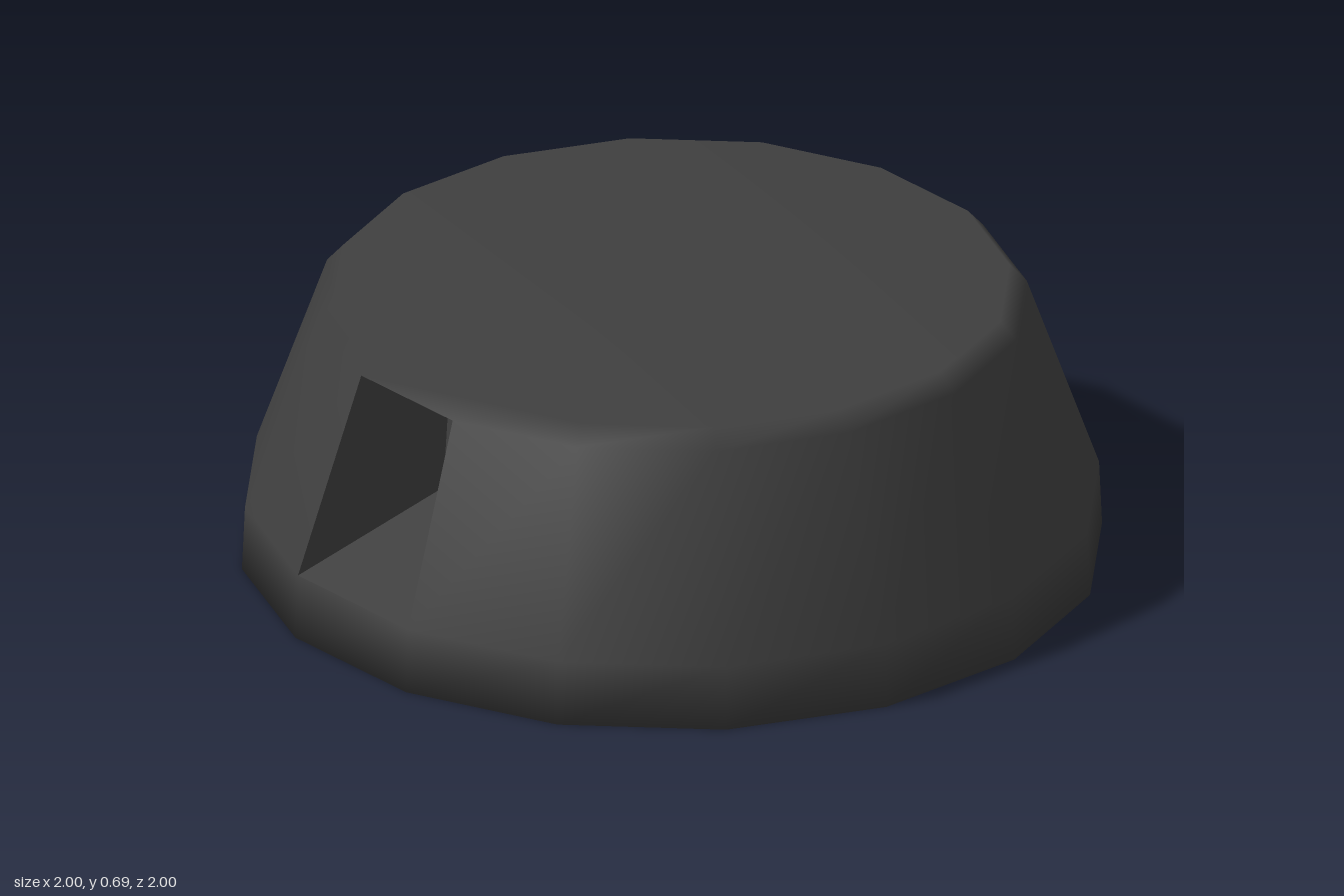
import * as THREE from 'three';

const SIDES = 16;
// [distance from axis to facet, height], bottom to top
const RINGS = [[1, 0], [0.993, 0.16], [0.825, 0.64], [0.785, 0.685]];

// Corner of a ring; facet between corners -1 and 0 faces the front
function corner([apothem, y], i) {
  const a = (i + 0.5) * 2 * Math.PI / SIDES;
  const r = apothem / Math.cos(Math.PI / SIDES);
  return [r * Math.sin(a), y, r * Math.cos(a)];
}

// Smooth closed body with one open facet at the front
function bodyGeometry() {
  const positions = [], faces = [], kept = [];
  for (const ring of RINGS)
    for (let i = 0; i < SIDES; i++) positions.push(...corner(ring, i));
  const bottom = RINGS.length * SIDES, top = bottom + 1;
  positions.push(0, RINGS[0][1], 0, 0, RINGS[RINGS.length - 1][1], 0);
  for (let i = 0; i < SIDES; i++) {
    const j = (i + 1) % SIDES;
    for (let k = 0; k < RINGS.length - 1; k++) {
      const a = k * SIDES + i, b = k * SIDES + j;
      const quad = [a, b, b + SIDES, a, b + SIDES, a + SIDES];
      faces.push(...quad);
      if (!(k === 1 && i === SIDES - 1)) kept.push(...quad);
    }
    const last = (RINGS.length - 1) * SIDES;
    const caps = [bottom, j, i, top, last + i, last + j];
    faces.push(...caps);
    kept.push(...caps);
  }
  const g = new THREE.BufferGeometry();
  g.setAttribute('position', new THREE.Float32BufferAttribute(positions, 3));
  // Normals come from the whole shell, before the recess is opened
  g.setIndex(faces);
  g.computeVertexNormals();
  g.setIndex(kept);
  return g;
}

// Flat-sided pocket narrowing from the open facet to a back panel
function recessGeometry() {
  const outer = [corner(RINGS[1], -1), corner(RINGS[1], 0), corner(RINGS[2], 0), corner(RINGS[2], -1)];
  const inner = [[-0.164, 0.27, 0.57], [0.164, 0.27, 0.57], [0.164, 0.53, 0.55], [-0.164, 0.53, 0.55]];
  const positions = [];
  const quad = (a, b, c, d) => positions.push(...a, ...b, ...c, ...a, ...c, ...d);
  for (let i = 0; i < 4; i++) {
    const j = (i + 1) % 4;
    quad(outer[i], outer[j], inner[j], inner[i]);
  }
  quad(...inner);
  const g = new THREE.BufferGeometry();
  g.setAttribute('position', new THREE.Float32BufferAttribute(positions, 3));
  g.computeVertexNormals();
  return g;
}

export function createModel() {
  const group = new THREE.Group();
  group.name = 'taperedBase';
  const charcoal = new THREE.MeshStandardMaterial({ color: 0x3f3f3f });
  charcoal.name = 'charcoal';

  const body = new THREE.Mesh(bodyGeometry(), charcoal);
  body.name = 'body';
  const recess = new THREE.Mesh(recessGeometry(), charcoal);
  recess.name = 'frontRecess';
  group.add(body, recess);
  return group;
}
